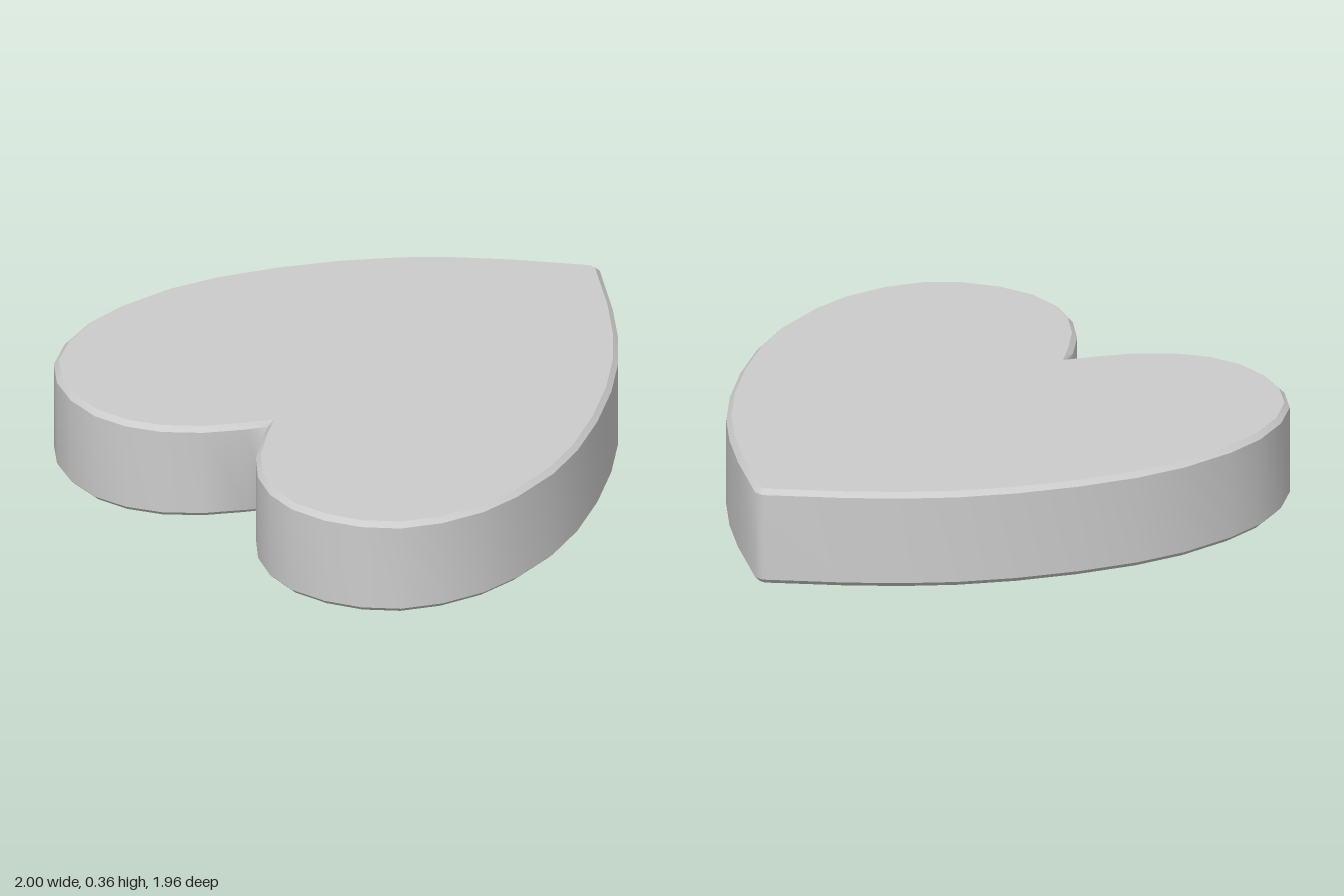
import * as THREE from 'three';
import { toCreasedNormals } from 'three/addons/utils/BufferGeometryUtils.js';

const HEIGHT = 0.355;
const BEVEL = 0.018;

// One half of the heart outline, from the blunt tip round the lobe to just before the notch
const HALF = [
  [1, 0.018], [0.83, 0.25], [0.70, 0.405], [0.565, 0.54], [0.40, 0.67], [0.21, 0.79],
  [0.01, 0.89], [-0.17, 0.95], [-0.38, 0.98], [-0.54, 0.975], [-0.70, 0.93],
  [-0.83, 0.855], [-0.92, 0.75], [-0.977, 0.625], [-1, 0.485], [-0.977, 0.355],
  [-0.917, 0.237], [-0.82, 0.13], [-0.70, 0.043],
];
const NOTCH = [-0.625, 0];

export function createModel() {
  const mirrored = HALF.map(([x, y]) => [x, -y]).reverse();
  const outline = [...HALF, NOTCH, ...mirrored].map(([x, y]) => new THREE.Vector2(x, y));

  // Upright slab with a single chamfer cut inwards along both rims
  const geometry = new THREE.ExtrudeGeometry(new THREE.Shape(outline), {
    depth: HEIGHT - 2 * BEVEL,
    bevelEnabled: true,
    bevelThickness: BEVEL,
    bevelSize: BEVEL,
    bevelOffset: -BEVEL,
    bevelSegments: 1,
  });
  geometry.rotateX(-Math.PI / 2);
  geometry.translate(0, BEVEL, 0);

  const heart = new THREE.Mesh(
    toCreasedNormals(geometry, 0.72),
    new THREE.MeshStandardMaterial({ color: 0xcccccc }),
  );
  heart.name = 'heartSlab';

  const group = new THREE.Group();
  group.name = 'heart';
  group.add(heart);
  return group;
}
